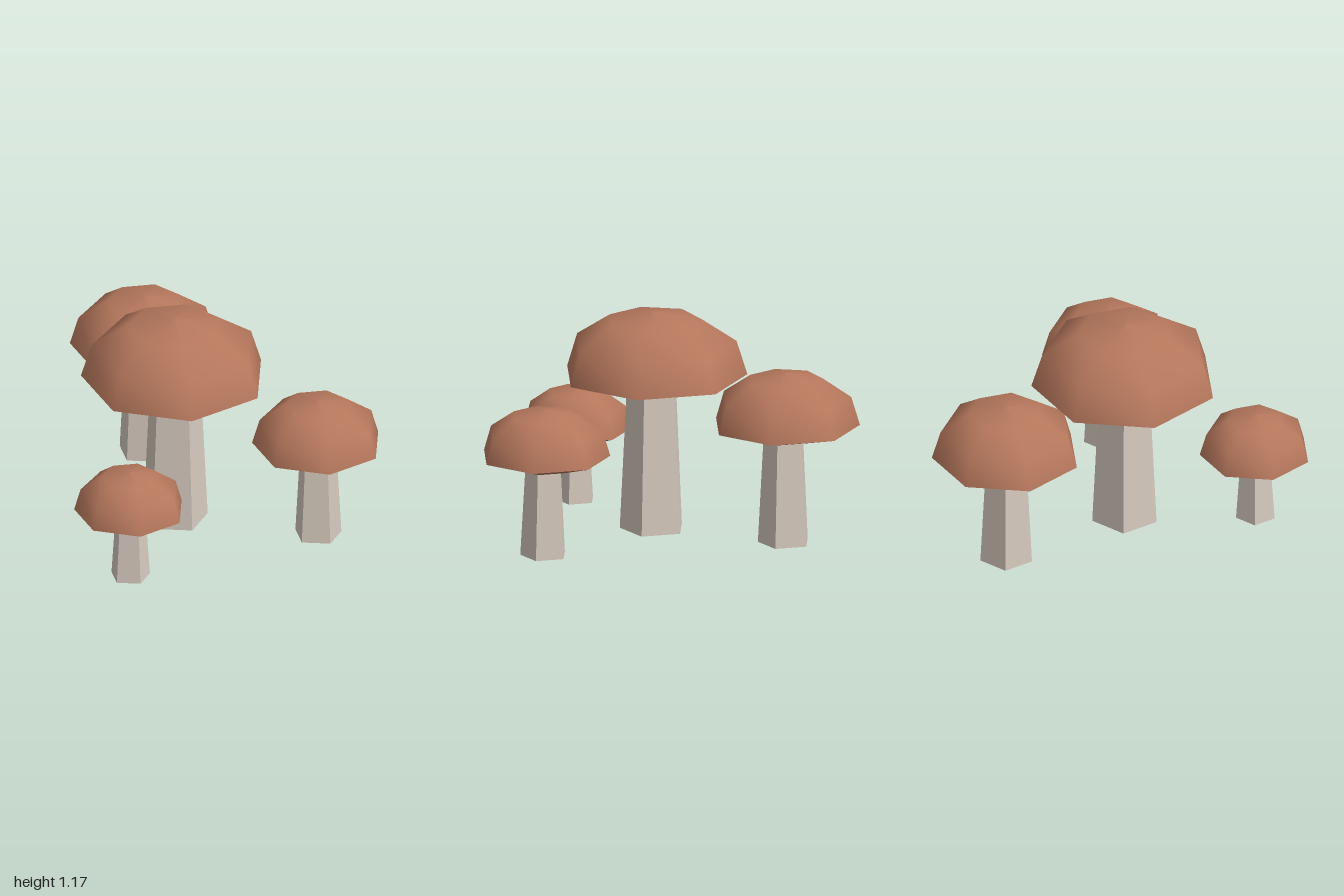
import * as THREE from 'three';

const capBrown = new THREE.MeshStandardMaterial({ color: 0xb5775c });
capBrown.name = 'capBrown';
const stemBeige = new THREE.MeshStandardMaterial({ color: 0xd6cabe });
stemBeige.name = 'stemBeige';

// seven-sided surface with a corner facing the front
function lathe(points, name) {
  const geometry = new THREE.LatheGeometry(points.map(([r, y]) => new THREE.Vector2(r, y)), 7);
  const mesh = new THREE.Mesh(geometry, capBrown);
  mesh.name = name;
  return mesh;
}

function mushroom({ name, x, z, radius, rim, top, stem }) {
  const group = new THREE.Group();
  group.name = name;
  const under = rim - 0.058;
  const rise = top - rim;

  // tapered five-sided stem, flat faces
  const stalk = new THREE.Mesh(
    new THREE.CylinderGeometry(stem * 0.79, stem, under, 5).toNonIndexed(), stemBeige);
  stalk.geometry.computeVertexNormals();
  stalk.geometry.translate(0, under / 2, 0);
  stalk.name = 'stem';

  // smooth dome
  const dome = lathe([
    [radius, rim],
    [radius * 0.885, rim + rise * 0.53],
    [radius * 0.505, rim + rise * 0.89],
    [0, top],
  ], 'capDome');

  // shallow underside, separate so the rim stays sharp
  const underside = lathe([
    [0, under],
    [radius * 0.45, under],
    [radius, rim],
  ], 'capUnderside');

  group.add(stalk, dome, underside);
  group.position.set(x, 0, z);
  return group;
}

export function createModel() {
  const model = new THREE.Group();
  model.name = 'mushroomCluster';
  [
    { name: 'largeMushroom', x: -0.027, z: -0.07, radius: 0.491, rim: 0.83, top: 1.172, stem: 0.177 },
    { name: 'rearMushroom', x: -0.618, z: -0.512, radius: 0.392, rim: 0.632, top: 0.918, stem: 0.142 },
    { name: 'sideMushroom', x: 0.66, z: -0.419, radius: 0.344, rim: 0.535, top: 0.79, stem: 0.127 },
    { name: 'smallMushroom', x: 0.218, z: 0.568, radius: 0.293, rim: 0.387, top: 0.613, stem: 0.106 },
  ].forEach((spec) => model.add(mushroom(spec)));
  return model;
}
